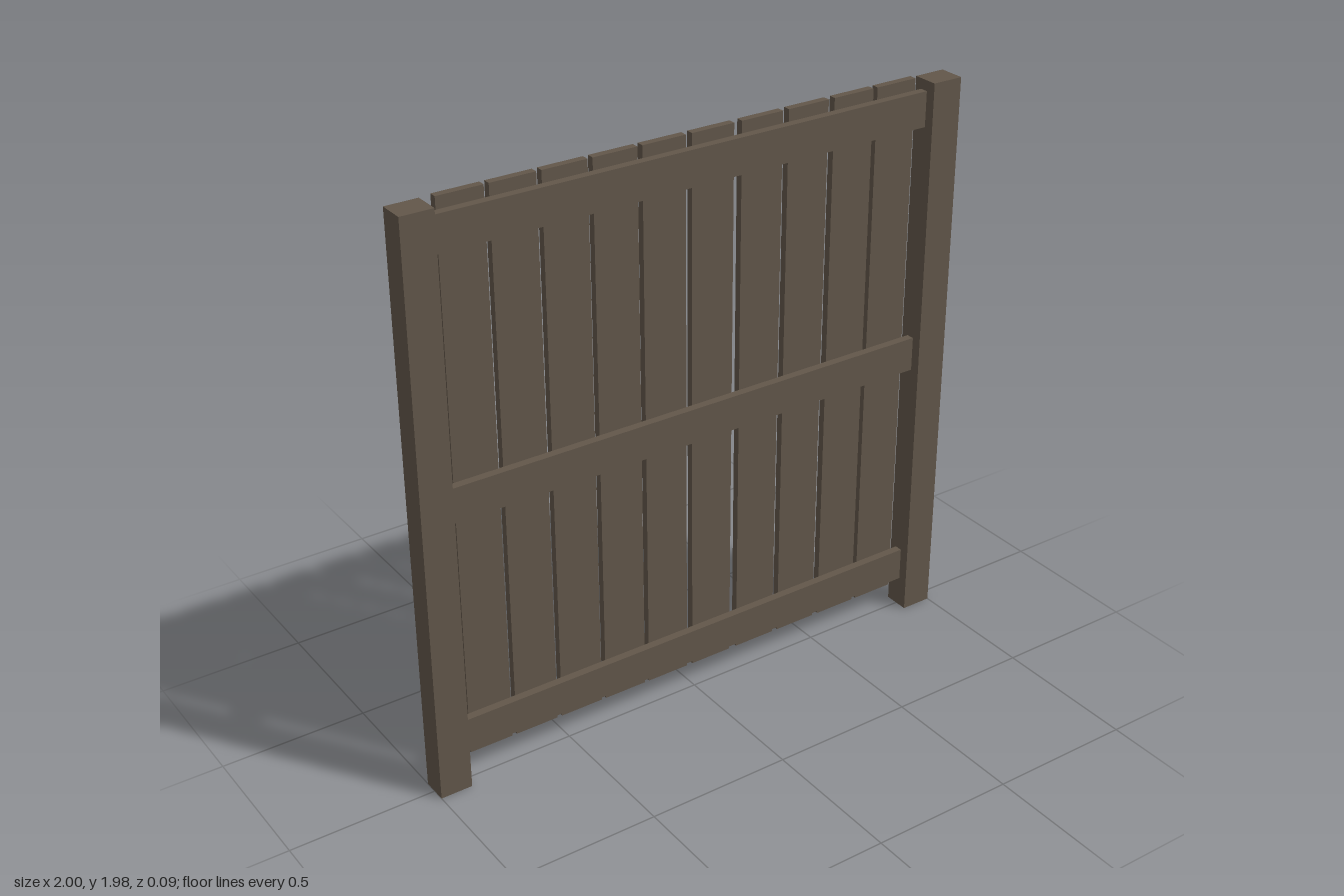
import * as THREE from 'three';

export function createModel() {
  const group = new THREE.Group();
  group.name = 'fencePanel';
  const wood = new THREE.MeshStandardMaterial({ color: 0x62574a });
  wood.name = 'weathered brown wood';

  // Box given by its lower and upper limits on each axis
  const board = (name, [x0, x1], [y0, y1], [z0, z1]) => {
    const mesh = new THREE.Mesh(new THREE.BoxGeometry(x1 - x0, y1 - y0, z1 - z0), wood);
    mesh.position.set((x0 + x1) / 2, (y0 + y1) / 2, (z0 + z1) / 2);
    mesh.name = name;
    group.add(mesh);
  };

  // End posts
  board('rightPost', [-1, -0.89], [0, 1.975], [-0.045, 0.045]);
  board('leftPost', [0.89, 1], [0, 1.975], [-0.045, 0.045]);

  // Horizontal rails between the posts
  const rails = { bottomRail: 0.17, middleRail: 1.01, topRail: 1.88 };
  for (const [name, y] of Object.entries(rails)) {
    board(name, [-0.89, 0.89], [y - 0.06, y + 0.06], [-0.018, 0.01]);
  }

  // Upright planks behind the rails, slightly unevenly spaced
  const centres = [-0.778, -0.608, -0.437, -0.266, -0.095, 0.081, 0.264, 0.44, 0.617, 0.787];
  centres.forEach((x, i) => {
    board(`plank${i + 1}`, [x - 0.077, x + 0.077], [0.078, 1.98], [-0.043, -0.018]);
  });

  return group;
}
